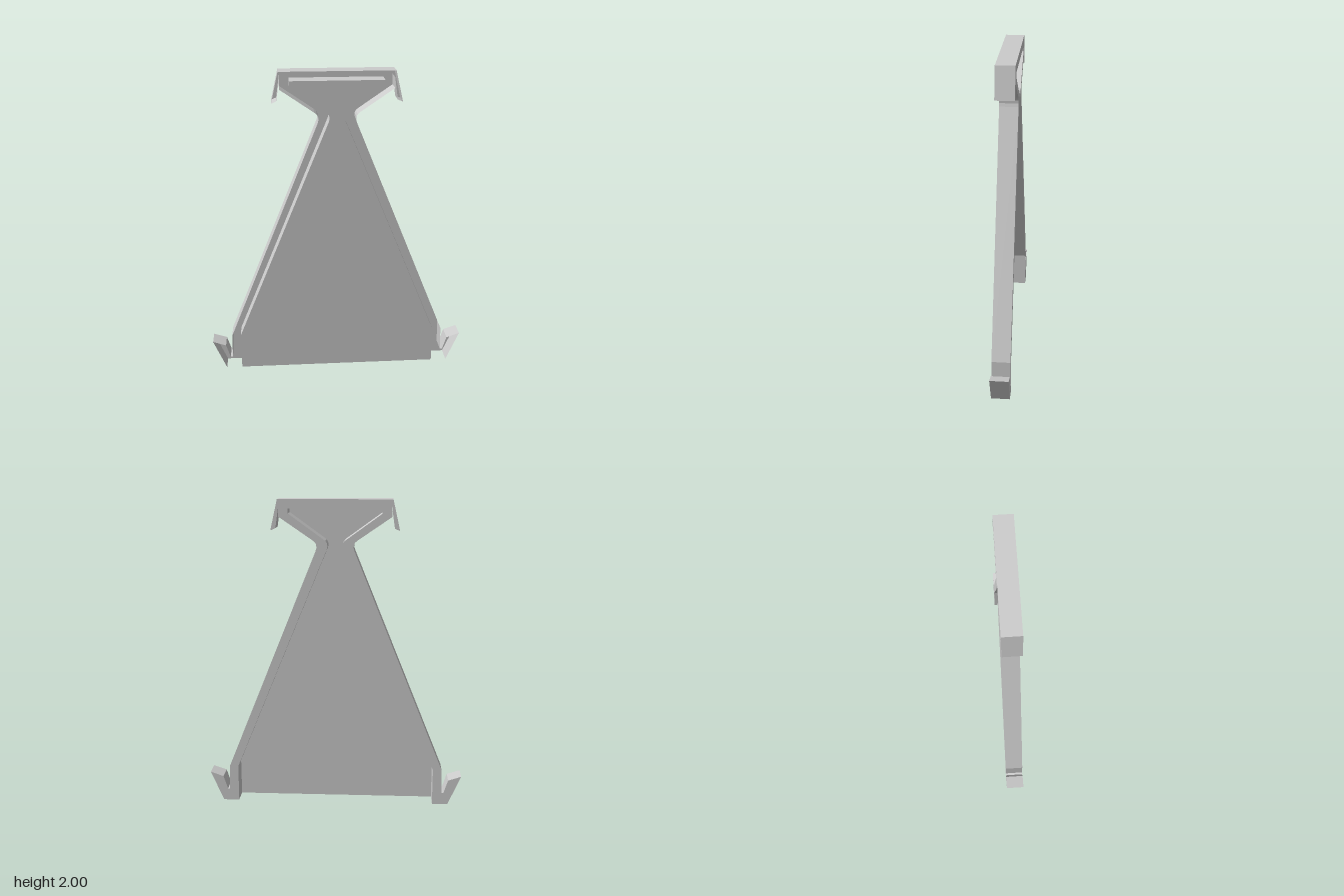
import * as THREE from 'three';

const D = 0.0585; // half depth

// Half outlines, from the bottom up to the top, on the +x side
const outerHalf = [
  [0.75, 0], [0.835, 0.197], [0.75, 0.168], [0.722, 0.08], [0.708, 0.08], [0.705, 0.24],
  [0.122, 1.68], [0.116, 1.7], [0.117, 1.72], [0.125, 1.735], [0.14, 1.748],
  [0.352, 1.893], [0.35, 1.96], [0.37, 1.822], [0.402, 1.808], [0.358, 2],
];
const innerHalf = [
  [0.648, 0], [0.648, 0.24], [0.052, 1.69], [0.047, 1.71], [0.05, 1.73], [0.06, 1.745],
  [0.292, 1.913], [0.292, 1.943],
];

// Up the +x side, then mirrored down the -x side
function mirrored(half) {
  const right = half.map(([x, y]) => new THREE.Vector2(x, y));
  const left = half.map(([x, y]) => new THREE.Vector2(-x, y)).reverse();
  return [...right, ...left];
}

// Thin wall that follows an open outline through the full depth
function wallGeometry(points) {
  const pos = [];
  for (let i = 0; i < points.length - 1; i++) {
    const a = points[i], b = points[i + 1];
    pos.push(a.x, a.y, D, a.x, a.y, -D, b.x, b.y, -D);
    pos.push(a.x, a.y, D, b.x, b.y, -D, b.x, b.y, D);
  }
  const geometry = new THREE.BufferGeometry();
  geometry.setAttribute('position', new THREE.Float32BufferAttribute(pos, 3));
  geometry.computeVertexNormals();
  return geometry;
}

export function createModel() {
  const group = new THREE.Group();
  group.name = 'bracketPanel';
  const material = new THREE.MeshStandardMaterial({
    color: 0xcccccc, flatShading: true, side: THREE.DoubleSide,
  });
  const add = (name, geometry, z = 0) => {
    const mesh = new THREE.Mesh(geometry, material);
    mesh.name = name;
    mesh.position.z = z;
    group.add(mesh);
  };

  const outer = mirrored(outerHalf);
  const inner = mirrored(innerHalf);

  // Raised front panel
  add('frontPanel', new THREE.ShapeGeometry(new THREE.Shape(inner)), D);
  // Back rim with its clips, open along the bottom
  add('backRim', new THREE.ShapeGeometry(new THREE.Shape([...outer, ...[...inner].reverse()])), -D);
  // Walls joining panel and rim, and the outer lip
  add('innerWall', wallGeometry(inner));
  add('outerWall', wallGeometry(outer));

  return group;
}
